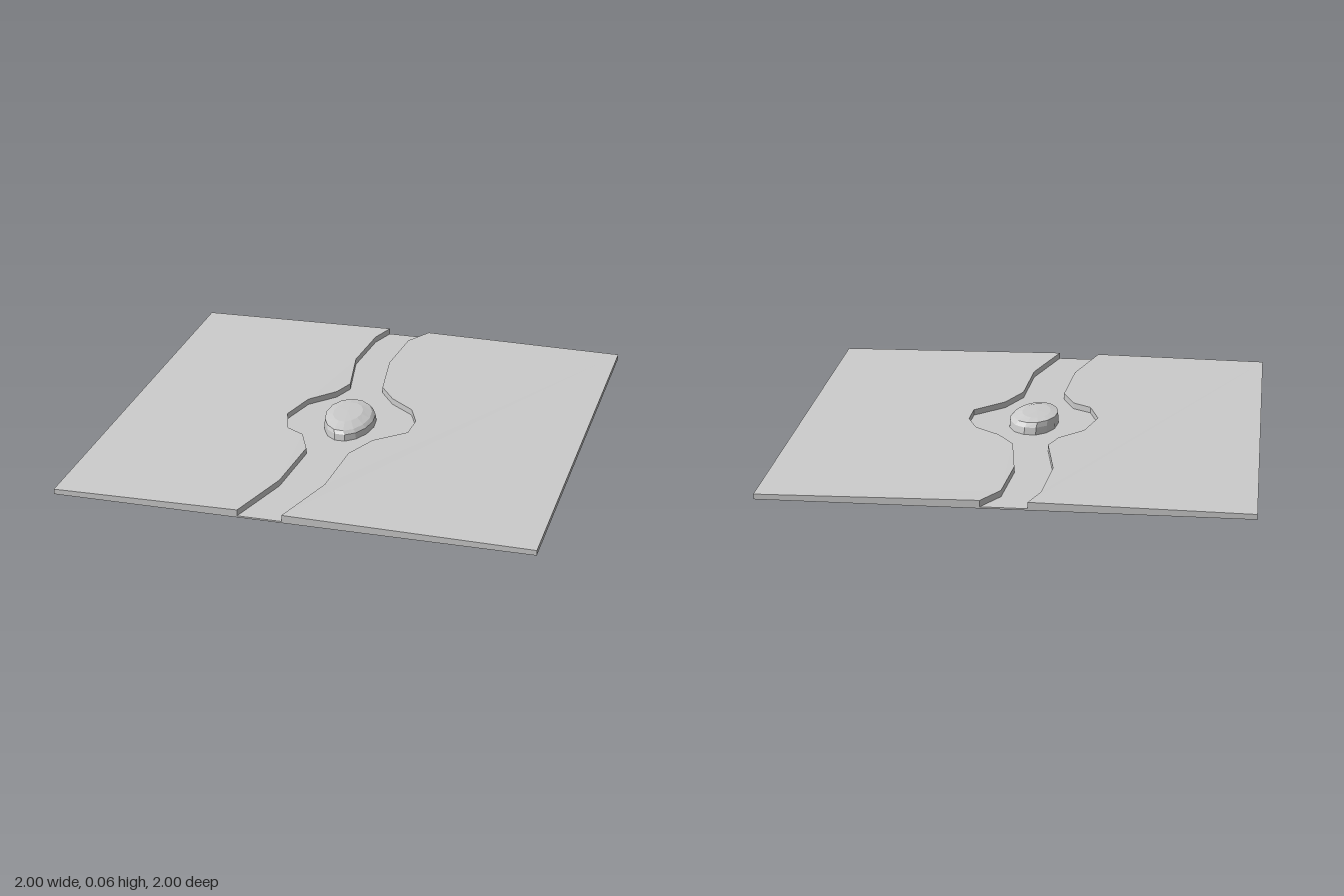
import * as THREE from 'three';

const material = new THREE.MeshStandardMaterial({ color: 0xcccccc, flatShading: true });

// River outline as [x, z], from the back edge to the front edge
const westShore = [[-0.10, -1], [-0.14, -0.88], [-0.16, -0.6], [-0.11, -0.32], [-0.145, -0.22], [-0.245, -0.11],
  [-0.29, 0.06], [-0.245, 0.2], [-0.165, 0.25], [-0.11, 0.38], [-0.13, 0.7], [-0.215, 1]];
const eastShore = [[0.09, -1], [0.02, -0.88], [0, -0.6], [0.04, -0.32], [0.115, -0.21], [0.225, -0.12],
  [0.27, -0.01], [0.265, 0.11], [0.14, 0.23], [0.075, 0.38], [0.06, 0.69], [-0.03, 1]];

// Upright slab over a ground outline
function slab(name, outline, height) {
  const shape = new THREE.Shape(outline.map(([x, z]) => new THREE.Vector2(x, -z)));
  const geometry = new THREE.ExtrudeGeometry(shape, { depth: height, bevelEnabled: false });
  geometry.rotateX(-Math.PI / 2);
  const mesh = new THREE.Mesh(geometry, material);
  mesh.name = name;
  return mesh;
}

// Bank whose top falls gently from the river to the outer edge
function bank(name, shore, side) {
  const mesh = slab(name, [[side, -1], ...shore, [side, 1]], 0.03);
  const p = mesh.geometry.attributes.position;
  for (let i = 0; i < p.count; i++) {
    if (p.getY(i) > 0.015) p.setY(i, 0.022 + 0.014 * Math.min(1 - Math.abs(p.getX(i)), 0.85));
  }
  mesh.geometry.computeVertexNormals();
  return mesh;
}

// Egg-shaped island: sloping sides, tilted rim and a low domed top
function island() {
  const n = 14;
  // centre x, centre z, radius x, radius z, height, tilt
  const rings = [
    [-0.010, 0.046, 0.107, 0.175, 0.006, 0],
    [-0.012, 0.046, 0.105, 0.170, 0.036, 0.3],
    [-0.019, 0.046, 0.097, 0.158, 0.053, 1],
    [-0.022, 0.040, 0.062, 0.100, 0.063, 0.3],
  ];
  const points = [], index = [];
  for (const [cx, cz, rx, rz, y, tilt] of rings) {
    for (let i = 0; i < n; i++) {
      const a = (i / n) * Math.PI * 2;
      const dx = Math.cos(a) * rx * (1 - 0.06 * Math.sin(a)), dz = Math.sin(a) * rz;
      points.push(cx + dx, y - tilt * (0.05 * dx + 0.03 * dz), cz + dz);
    }
  }
  points.push(-0.022, 0.065, 0.04);
  const last = (rings.length - 1) * n;
  for (let i = 0; i < n; i++) {
    const j = (i + 1) % n;
    for (let r = 0; r < last; r += n) {
      index.push(r + i, r + n + i, r + j, r + j, r + n + i, r + n + j);
    }
    index.push(last + i, last + n, last + j);
  }
  const indexed = new THREE.BufferGeometry();
  indexed.setAttribute('position', new THREE.Float32BufferAttribute(points, 3));
  indexed.setIndex(index);
  const geometry = indexed.toNonIndexed();
  geometry.computeVertexNormals();
  const mesh = new THREE.Mesh(geometry, material);
  mesh.name = 'island';
  return mesh;
}

export function createModel() {
  const model = new THREE.Group();
  model.name = 'riverTerrain';
  model.add(
    bank('rightBank', westShore, -1),
    bank('leftBank', eastShore, 1),
    slab('riverBed', [...westShore, ...[...eastShore].reverse()], 0.007),
    island(),
  );
  return model;
}
